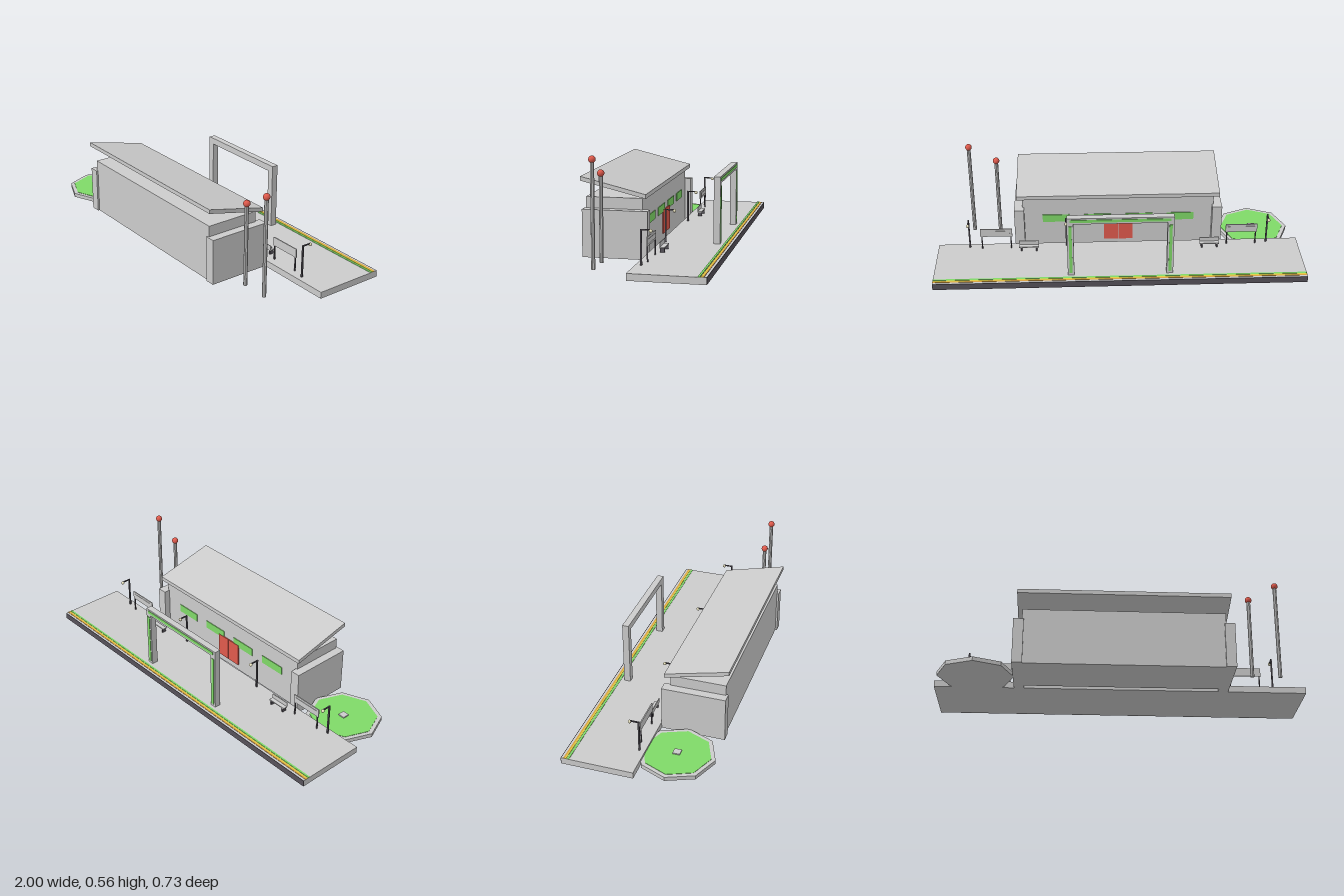
import * as THREE from 'three';

const mat = (color) => new THREE.MeshStandardMaterial({ color, flatShading: true });
const grey = mat(0xcccccc);
const dark = mat(0x56525a);
const green = mat(0x7fd968);
const yellow = mat(0xe0d040);
const orange = mat(0xd9a040);
const red = mat(0xe05a4c);
const cream = new THREE.MeshStandardMaterial({ color: 0xe8e2c0 });
const redSmooth = new THREE.MeshStandardMaterial({ color: 0xe05a4c });

export function createModel() {
  const root = new THREE.Group();

  const add = (parent, name, geometry, material, x = 0, y = 0, z = 0) => {
    const mesh = new THREE.Mesh(geometry, material);
    mesh.name = name;
    mesh.position.set(x, y, z);
    parent.add(mesh);
    return mesh;
  };
  // Box given by its extents on each axis
  const box = (parent, name, material, x0, x1, y0, y1, z0, z1) =>
    add(parent, name, new THREE.BoxGeometry(x1 - x0, y1 - y0, z1 - z0), material,
      (x0 + x1) / 2, (y0 + y1) / 2, (z0 + z1) / 2);
  const group = (name, x = 0) => {
    const g = new THREE.Group();
    g.name = name;
    g.position.x = x;
    root.add(g);
    return g;
  };

  const floor = 0.035;

  // Platform with dark edge and painted safety lines
  const platform = group('platform');
  box(platform, 'platformSlab', grey, -1, 1, 0, floor, -0.363, 0.015);
  box(platform, 'platformEdge', dark, -1, 1, 0, floor, -0.366, -0.363);
  box(platform, 'greenLine', green, -1, 1, floor, floor + 0.002, -0.333, -0.322);
  box(platform, 'yellowLine', yellow, -1, 1, floor, floor + 0.002, -0.344, -0.336);
  box(platform, 'orangeLine', orange, -1, 1, floor, floor + 0.002, -0.352, -0.344);

  // Station hall with lower end walls
  const hall = group('stationHall');
  box(hall, 'hallBody', grey, -0.53, 0.53, 0, 0.305, 0.05, 0.345);
  for (const s of [-1, 1]) {
    const x = s * 0.548;
    box(hall, 'endWall', grey, x - 0.027, x + 0.027, 0, 0.247, 0.015, 0.355);
  }
  // Sloping roof slab with upright ends
  const roof = new THREE.BoxGeometry(1.12, 0.022, 0.34);
  const p = roof.attributes.position;
  for (let i = 0; i < p.count; i++) p.setY(i, p.getY(i) + p.getZ(i) * 0.241);
  roof.computeVertexNormals();
  add(hall, 'roof', roof, grey, 0, 0.36, 0.197);

  // Doors and windows facing the platform
  for (const s of [-1, 1]) {
    box(hall, 'door', red, s * 0.041 - 0.039, s * 0.041 + 0.039, floor, 0.165, 0.044, 0.05);
    for (const c of [0.115, 0.345]) {
      box(hall, 'window', green, s * c - 0.075, s * c + 0.075, 0.153, 0.198, 0.046, 0.05);
    }
  }

  // Gateway frame with green inlays on its track side
  const gate = group('gateway');
  box(gate, 'gateBeam', grey, -0.282, 0.282, 0.353, 0.388, -0.303, -0.268);
  box(gate, 'beamInlay', green, -0.265, 0.265, 0.364, 0.38, -0.306, -0.303);
  for (const s of [-1, 1]) {
    const x = s * 0.2645;
    box(gate, 'gatePost', grey, x - 0.0175, x + 0.0175, floor, 0.353, -0.303, -0.268);
    box(gate, 'postInlay', green, x - 0.008, x + 0.008, 0.05, 0.341, -0.306, -0.303);
  }

  // Lamps, benches and name boards
  for (const x of [-0.825, -0.295, 0.29, 0.825]) {
    const lamp = group('lamp', x);
    box(lamp, 'lampPost', dark, -0.004, 0.004, floor, 0.211, -0.019, -0.011);
    box(lamp, 'lampArm', dark, -0.003, 0.003, 0.205, 0.211, -0.062, -0.019);
    add(lamp, 'lampGlobe', new THREE.SphereGeometry(0.009, 16, 12), cream, 0, 0.203, -0.062);
  }
  for (const x of [-0.503, 0.497]) {
    const bench = group('bench', x);
    box(bench, 'benchSeat', grey, -0.054, 0.054, 0.058, 0.064, -0.067, -0.042);
    box(bench, 'benchBack', grey, -0.054, 0.054, 0.064, 0.088, -0.044, -0.04);
    for (const s of [-1, 1]) {
      box(bench, 'benchLeg', dark, s * 0.042 - 0.004, s * 0.042 + 0.004, floor, 0.058, -0.066, -0.043);
    }
  }
  for (const x of [-0.682, 0.676]) {
    const sign = group('signBoard', x);
    box(sign, 'board', grey, -0.088, 0.088, 0.113, 0.16, -0.032, -0.026);
    box(sign, 'boardPanel', grey, -0.075, 0.075, 0.124, 0.148, -0.034, -0.032);
    for (const s of [-1, 1]) {
      box(sign, 'signPost', dark, s * 0.08 - 0.003, s * 0.08 + 0.003, floor, 0.113, -0.032, -0.026);
    }
  }

  // Octagonal lawn with stone rim and centre block
  const lawn = group('lawn', -0.77);
  add(lawn, 'lawnRim', new THREE.CylinderGeometry(0.2, 0.2, 0.022, 8), grey, 0, 0.011, 0.165);
  add(lawn, 'grass', new THREE.CylinderGeometry(0.178, 0.178, 0.012, 8), green, 0, 0.018, 0.165);
  box(lawn, 'centreBlock', grey, -0.019, 0.019, 0.02, 0.03, 0.146, 0.184);

  // Tall masts topped with red balls
  for (const [x, y] of [[0.673, 0.449], [0.82, 0.537]]) {
    const mast = group('mast', x);
    add(mast, 'mastPole', new THREE.CylinderGeometry(0.0105, 0.0105, y, 8), grey, 0, y / 2, 0.225);
    add(mast, 'mastBall', new THREE.SphereGeometry(0.018, 20, 14), redSmooth, 0, y, 0.225);
  }

  return root;
}
